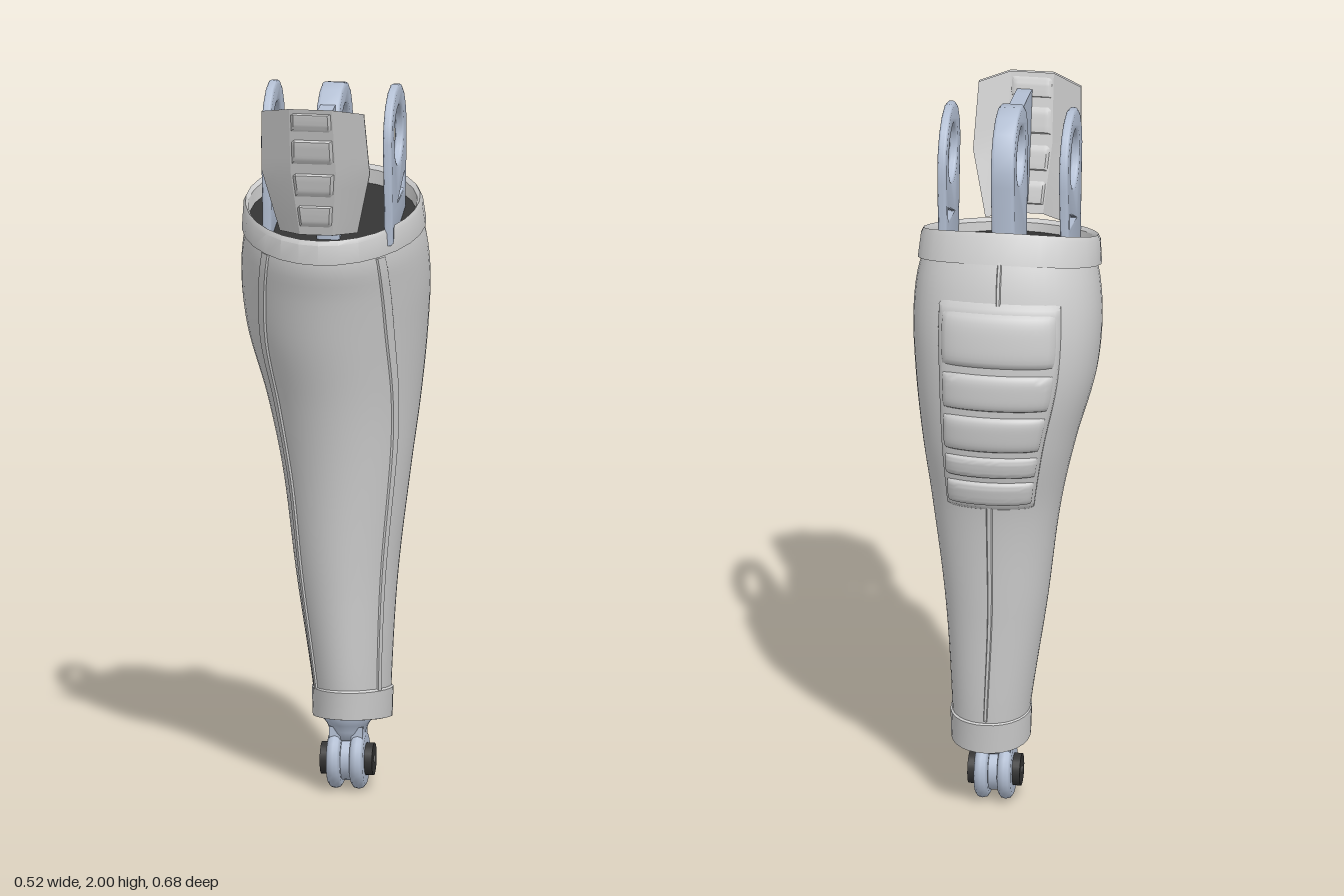
import * as THREE from 'three';
import { toCreasedNormals } from 'three/addons/utils/BufferGeometryUtils.js';

const grey = new THREE.MeshStandardMaterial({ color: 0xcccccc, side: THREE.DoubleSide });
const steel = new THREE.MeshStandardMaterial({ color: 0xb4c0d4 });
const dark = new THREE.MeshStandardMaterial({ color: 0x333333, side: THREE.DoubleSide });
const lerp = THREE.MathUtils.lerp;

function add(parent, name, geometry, material, x = 0, y = 0, z = 0) {
  const mesh = new THREE.Mesh(geometry, material);
  mesh.name = name;
  mesh.position.set(x, y, z);
  parent.add(mesh);
}

// Surface from fn(u, v) -> [x, y, z]; wrap joins the last column to the first
function grid(fn, nu, nv, wrap = false, crease = 0) {
  const pos = [], idx = [], cols = wrap ? nu : nu + 1;
  for (let j = 0; j <= nv; j++)
    for (let i = 0; i < cols; i++) pos.push(...fn(i / nu, j / nv, i, j));
  for (let j = 0; j < nv; j++)
    for (let i = 0; i < nu; i++) {
      const k = (i + 1) % cols, a = j * cols + i, b = j * cols + k;
      idx.push(a, b, b + cols, a, b + cols, a + cols);
    }
  const g = new THREE.BufferGeometry();
  g.setAttribute('position', new THREE.Float32BufferAttribute(pos, 3));
  g.setIndex(idx);
  g.computeVertexNormals();
  return crease ? toCreasedNormals(g, crease) : g;
}

// A tilted egg-shaped section, fuller at the back:
// [front y, back y, front z, back z, min x, max x]
function onSection([yF, yB, zF, zB, x0, x1], t, off = 0) {
  const s = Math.sin(t), c = Math.cos(t), hz = (zF - zB) / 2;
  return [
    (x0 + x1) / 2 + ((x1 - x0) / 2 + off) * s,
    (yF + yB) / 2 + ((yF - yB) / 2) * c,
    (zF + zB) / 2 + (hz + off) * c - 0.8 * hz * hz * s * s,
  ];
}
const loft = (rows) =>
  grid((u, v, i, j) => onSection(rows[j], u * Math.PI * 2), 28, rows.length - 1, true, 0.6);

// Sections of the lower leg from ankle to knee
const legRows = [
  [0.25, 0.25, 0.046, -0.212, -0.058, 0.151],
  [0.32, 0.32, 0.052, -0.217, -0.067, 0.153],
  [0.60, 0.60, 0.065, -0.23, -0.11, 0.17],
  [0.90, 0.90, 0.085, -0.255, -0.15, 0.205],
  [1.09, 1.11, 0.113, -0.298, -0.195, 0.23],
  [1.28, 1.32, 0.158, -0.314, -0.25, 0.25],
  [1.42, 1.48, 0.19, -0.3, -0.262, 0.258],
  [1.51, 1.61, 0.215, -0.265, -0.25, 0.25],
  [1.55, 1.67, 0.215, -0.235, -0.236, 0.236],
];
const legCurve = new THREE.CubicInterpolant(legRows.map((r) => (r[0] + r[1]) / 2), legRows.flat(), 6);
const onLeg = (y, t, off) => onSection(legCurve.evaluate(y), t, off);

// Strip or pad lying on the leg; height(u, v) gives its rise above it, and
// the centre angle may vary with height
const legPatch = (y0, y1, centre, half, height, nu, nv) =>
  grid((u, v) => {
    const y = lerp(y0, y1, v);
    return onLeg(y, centre(y) + lerp(-half, half, u), height(u, v));
  }, nu, nv, false, 0.9);

const dome = (u, p) => 1 - Math.abs(2 * u - 1) ** p;
const back = () => Math.PI;

function buildLeg(g) {
  add(g, 'shinAndCalf', grid((u, v) => onLeg(lerp(0.25, 1.61, v), u * Math.PI * 2, 0), 48, 48, true), grey);

  add(g, 'kneeRim', loft([
    [1.535, 1.645, 0.205, -0.24, -0.238, 0.238],
    [1.53, 1.645, 0.232, -0.252, -0.254, 0.254],
    [1.585, 1.715, 0.234, -0.226, -0.248, 0.248],
    [1.598, 1.727, 0.226, -0.216, -0.241, 0.241],
    [1.59, 1.715, 0.212, -0.206, -0.233, 0.233],
    [1.53, 1.64, 0.205, -0.21, -0.225, 0.225],
  ]), grey);
  add(g, 'kneeOpening', loft([
    [1.565, 1.675, 0.211, -0.211, -0.232, 0.232],
    [1.62, 1.62, 0, 0, 0, 0],
  ]), dark);

  add(g, 'ankleCuff', loft([
    [0.235, 0.22, 0.03, -0.19, -0.04, 0.135],
    [0.212, 0.182, 0.04, -0.202, -0.052, 0.145],
    [0.215, 0.185, 0.052, -0.212, -0.063, 0.155],
    [0.292, 0.27, 0.058, -0.22, -0.066, 0.157],
    [0.3, 0.277, 0.046, -0.21, -0.056, 0.149],
  ]), grey);
  add(g, 'ankleClosure', loft([
    [0.23, 0.23, -0.08, -0.08, 0.047, 0.047],
    [0.235, 0.22, 0.035, -0.195, -0.045, 0.14],
  ]), grey);

  // Side seams, sweeping forward near the knee, and the calf seams
  const welt = (u) => -0.003 + 0.008 * Math.min(1, dome(u, 6) * 1.5);
  const seamAngle = (y) => 0.93 - 0.22 * THREE.MathUtils.smoothstep(y, 0.9, 1.55);
  add(g, 'leftSeam', legPatch(0.28, 1.58, seamAngle, 0.07, welt, 6, 36), grey);
  add(g, 'rightSeam', legPatch(0.28, 1.58, (y) => -seamAngle(y), 0.07, welt, 6, 36), grey);
  add(g, 'calfSeam', legPatch(0.28, 0.94, back, 0.06, welt, 4, 20), grey);
  add(g, 'upperCalfSeam', legPatch(1.49, 1.6, back, 0.03, welt, 4, 4), grey);

  // Quilted calf padding inside a frame
  const frame = (u, v) => -0.006 + 0.018 * Math.min(1, 5 * dome(u, 2), 10 * dome(v, 2));
  add(g, 'calfPadFrame', legPatch(0.92, 1.51, back, 0.74, frame, 24, 40), grey);
  const bulge = (u, v) => 0.004 + 0.024 * Math.sqrt(Math.max(0, dome(u, 6) * dome(v, 4)));
  const cuts = [0.935, 1.02, 1.095, 1.215, 1.335, 1.495];
  for (let i = 0; i < cuts.length - 1; i++)
    add(g, 'calfPad', legPatch(cuts[i] + 0.005, cuts[i + 1] - 0.005, back, 0.66, bulge, 20, 12), grey);
}

// Knee lug: a faceted eye on a tapering foot, in the z-y plane
function lugGeometry(width, hasWindow) {
  const bevel = 0.009, cz = 0.025, cy = 1.86, r = 0.142 - bevel;
  const circle = (radius, n, sweep) => Array.from({ length: n + 1 }, (_, i) => new THREE.Vector2(
    cz + radius * Math.cos((i / n) * sweep), cy + radius * Math.sin((i / n) * sweep)));
  const s = new THREE.Shape([
    new THREE.Vector2(-0.09, 1.58), new THREE.Vector2(0.13, 1.58), new THREE.Vector2(0.135, 1.66),
    ...circle(r, 8, Math.PI), new THREE.Vector2(cz - r, 1.82), new THREE.Vector2(-0.09, 1.67),
  ]);
  s.holes.push(new THREE.Path(circle(0.08 + bevel, 20, -Math.PI * 2).slice(0, -1)));
  if (hasWindow) s.holes.push(new THREE.Path([
    new THREE.Vector2(0.06, 1.675), new THREE.Vector2(-0.075, 1.74), new THREE.Vector2(-0.07, 1.685),
  ]));
  const depth = width - 2 * bevel;
  const e = new THREE.ExtrudeGeometry(s, {
    depth, bevelEnabled: true, bevelSize: bevel, bevelThickness: bevel, bevelSegments: 3,
  });
  e.translate(0, 0, -depth / 2);
  e.rotateY(-Math.PI / 2);
  return toCreasedNormals(e, 0.7);
}

// Point on the knee guard; k runs -1..1 across it, v from bottom to top
function onGuard(k, v, off = 0) {
  const half = v < 0.5 ? lerp(0.108, 0.15, v / 0.5) : lerp(0.15, 0.142, (v - 0.5) / 0.5);
  const fold = Math.max(0, (Math.abs(k) - 0.42) / 0.58);
  return [
    -0.006 + half * k,
    lerp(1.615, 1.99, v) + off * 0.3 - 0.018 * fold * v,
    lerp(0.228, 0.334, v) - 0.046 * fold + off,
  ];
}

function buildKnee(g) {
  const side = lugGeometry(0.025, true);
  add(g, 'leftLug', side, steel, 0.181);
  add(g, 'rightLug', side, steel, -0.157);
  add(g, 'middleLug', lugGeometry(0.065, false), steel, 0.0125);

  // Arm joining the middle lug to the guard
  const arm = new THREE.Shape([
    [0.11, 1.66], [0.15, 1.65], [0.235, 1.65], [0.308, 1.945], [0.27, 1.95], [0.13, 1.96],
  ].map((p) => new THREE.Vector2(...p)));
  const armGeometry = new THREE.ExtrudeGeometry(arm, { depth: 0.042, bevelEnabled: false });
  armGeometry.rotateY(-Math.PI / 2);
  add(g, 'guardArm', armGeometry, steel, 0.033);

  // Thin folded plate, front face then back face round a closed section
  const ks = [-1, -0.7, -0.42, 0, 0.42, 0.7, 1];
  const plate = grid((u, v, i) =>
    i < 7 ? onGuard(ks[i], v) : onGuard(ks[13 - i], v, -0.006), 14, 8, true, 0.35);
  add(g, 'kneeGuard', plate, grey);

  // Pads on the front, matching ribs on the back
  for (const [a, b] of [[0.06, 0.235], [0.3, 0.49], [0.56, 0.76], [0.82, 0.97]]) {
    for (const [name, base, rise] of [['guardPad', -0.002, 0.011], ['guardBackPad', -0.004, -0.009]]) {
      const pad = grid((u, v) =>
        onGuard(lerp(-0.4, 0.4, u), lerp(a, b, v),
          base + rise * Math.min(1, 2 * dome(u, 4), 2 * dome(v, 2))), 12, 8, false, 0.7);
      add(g, name, pad, grey);
    }
  }
}

function buildAnkle(g) {
  const cx = 0.038, cy = 0.084, cz = -0.063;
  const lathe = (pts, seg) => new THREE.LatheGeometry(pts.map((p) => new THREE.Vector2(...p)), seg);

  add(g, 'ankleNeck', lathe([[0, 0.135], [0.04, 0.14], [0.05, 0.165], [0.058, 0.185], [0.073, 0.205],
    [0.073, 0.235], [0, 0.235]], 24), steel, cx, 0, cz);

  // Two rounded fork discs on arms, with a hub through both
  const disc = lathe([[0, -0.019], [0.07, -0.019], [0.08, -0.012], [0.083, 0], [0.08, 0.012],
    [0.07, 0.019], [0, 0.019]], 28);
  disc.rotateZ(Math.PI / 2);
  const across = (r, len) => new THREE.CylinderGeometry(r, r, len, 24).rotateZ(Math.PI / 2);
  for (const s of [-1, 1]) {
    add(g, 'forkDisc', disc, steel, cx + s * 0.032, cy, cz);
    add(g, 'forkArm', new THREE.BoxGeometry(0.032, 0.09, 0.085), steel, cx + s * 0.031, 0.135, cz);
    add(g, 'pinCap', across(0.009, 0.004), grey, cx + s * 0.073, cy, cz);
  }
  add(g, 'axleCore', across(0.06, 0.05), steel, cx, cy, cz);
  add(g, 'axleHub', across(0.045, 0.145), dark, cx, cy, cz);
}

export function createModel() {
  const model = new THREE.Group();
  model.name = 'lowerLeg';
  for (const [name, build] of [['leg', buildLeg], ['kneeJoint', buildKnee], ['ankleJoint', buildAnkle]]) {
    const part = new THREE.Group();
    part.name = name;
    build(part);
    model.add(part);
  }
  return model;
}
